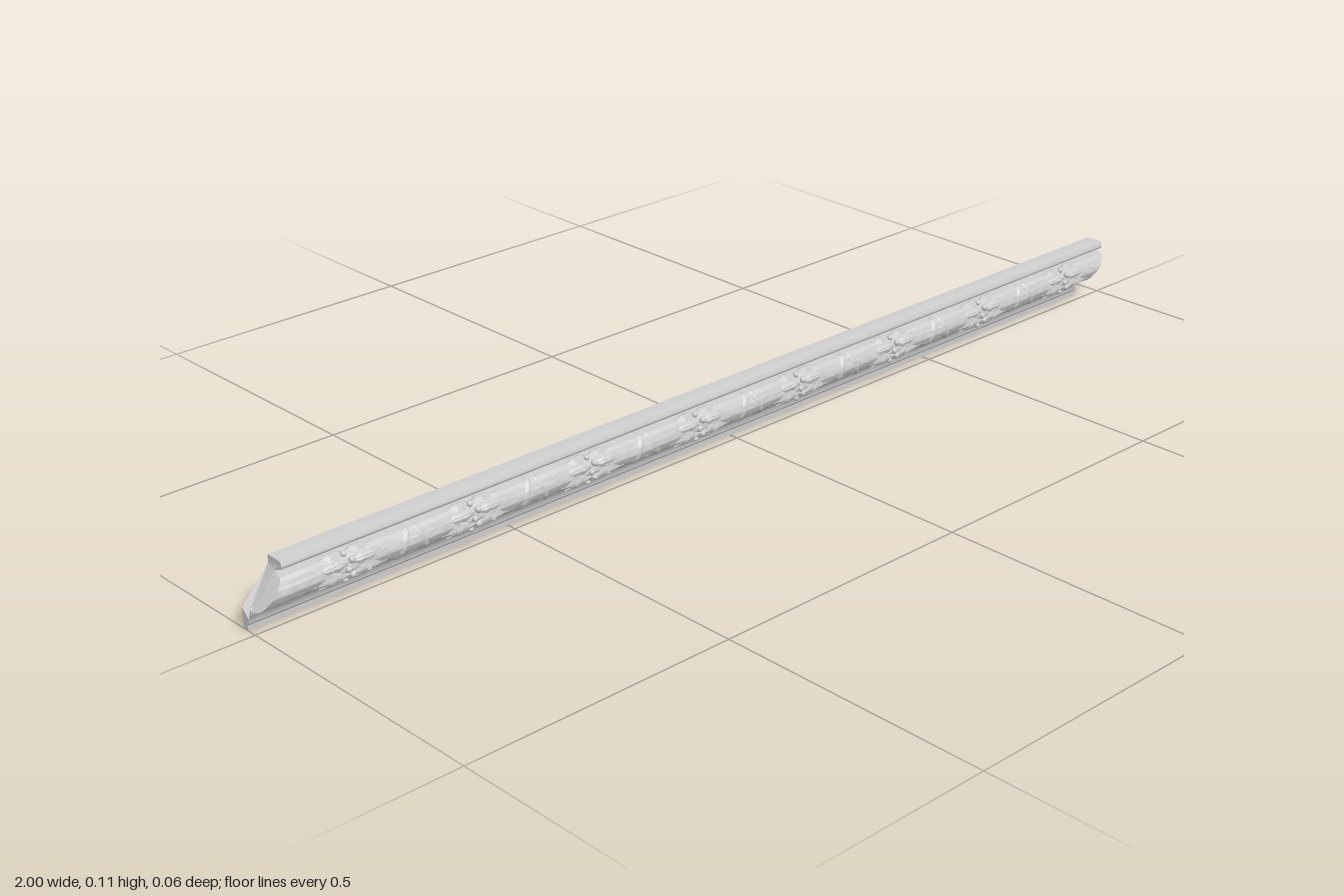
import * as THREE from 'three';
import { toCreasedNormals } from 'three/addons/utils/BufferGeometryUtils.js';

const LEFT = -1, LENGTH = 1.948;
const AXIS_Y = 0.062, AXIS_Z = -0.002;
const material = new THREE.MeshStandardMaterial({ color: 0xcccccc });
const thin = new THREE.MeshStandardMaterial({ color: 0xcccccc, side: THREE.DoubleSide });

// sideways shift that slants both ends between the lower and upper strips
const slant = (y) => 0.052 * THREE.MathUtils.clamp((y - 0.036) / 0.056, 0, 1);

// point on the rod from x, angle above the front direction, and radius
const onRod = (x, angle, r) => [x, AXIS_Y + r * Math.sin(angle), AXIS_Z + r * Math.cos(angle)];

// grid surface from a rule f(u, v) -> [x, y, z]
function surface(f, nu, nv, crease) {
  const pos = [], index = [];
  for (let i = 0; i <= nu; i++)
    for (let j = 0; j <= nv; j++) pos.push(...f(i / nu, j / nv));
  for (let i = 0; i < nu; i++)
    for (let j = 0; j < nv; j++) {
      const a = i * (nv + 1) + j, b = a + nv + 1;
      index.push(a, b, a + 1, b, b + 1, a + 1);
    }
  const g = new THREE.BufferGeometry();
  g.setAttribute('position', new THREE.Float32BufferAttribute(pos, 3));
  g.setIndex(index);
  g.computeVertexNormals();
  return toCreasedNormals(g, crease);
}

function add(parent, geometry, name, mat = material) {
  const mesh = new THREE.Mesh(geometry, mat);
  mesh.name = name;
  parent.add(mesh);
  return mesh;
}

// back board with its stepped lower strip and rounded upper lip
function railGeometry() {
  const profile = [
    [-0.03, 0], [-0.018, 0], [-0.018, 0.009], [-0.015, 0.013], [-0.014, 0.021],
    [-0.01, 0.027], [-0.007, 0.031], [-0.006, 0.036], [-0.012, 0.04], [-0.012, 0.088],
    [0.003, 0.092], [0.005, 0.096], [0.0045, 0.101], [0.002, 0.105], [-0.002, 0.106],
    [-0.03, 0.106], [-0.03, 0.092], [-0.03, 0.036],
  ];
  const shape = new THREE.Shape(profile.map(([z, y]) => new THREE.Vector2(-z, y)));
  const g = new THREE.ExtrudeGeometry(shape, { depth: LENGTH, bevelEnabled: false });
  g.rotateY(Math.PI / 2);
  const p = g.attributes.position;
  for (let i = 0; i < p.count; i++) p.setX(i, p.getX(i) + LEFT + slant(p.getY(i)));
  return toCreasedNormals(g, 0.5);
}

// half-round bundle of reeds with closed, slanted ends
function rodGeometry() {
  const n = 130;
  return surface((u, v) => {
    const i = Math.round(u * n);
    const t = THREE.MathUtils.clamp((i - 1) / (n - 2), 0, 1);
    const angle = (v - 0.5) * 3.7;
    const swell = 0.0006 * Math.sin(t * LENGTH * 52);
    const r = i === 0 || i === n ? 0 : 0.0235 + 0.0018 * Math.abs(Math.cos(angle * 3.4)) + swell;
    const p = onRod(0, angle, r);
    p[0] = LEFT + t * LENGTH + slant(p[1]);
    return p;
  }, n, 56, 0.7);
}

// scalloped leaf wrapped round the rod, with a middle vein and curled tip
function leafGeometry(dir, angle0, length, width) {
  return surface((u, v) => {
    const side = 2 * v - 1;
    const outline = Math.sin(Math.PI * Math.pow(u, 0.75)) * (1 + 0.2 * Math.cos(u * 19));
    const dome = (1 - side * side) * Math.sin(Math.PI * Math.min(1, u + 0.1));
    const vein = 0.0012 * Math.max(0, 1 - Math.abs(side) * 5);
    const r = 0.0247 + 0.0045 * dome - vein + 0.0025 * u * u;
    return onRod(dir * length * u, angle0 + width * outline * side, r);
  }, 18, 10, 0.8);
}

// raised ribbon crossing the reeds at an angle
function ribbonGeometry(lean) {
  return surface((u, v) => {
    const angle = (v - 0.5) * 3.5;
    return onRod((u - 0.5) * 0.012 + lean * angle, angle, 0.0245 + 0.0028 * Math.sin(Math.PI * u));
  }, 6, 28, 0.8);
}

export function createModel() {
  const model = new THREE.Group();
  model.name = 'carvedMoulding';
  add(model, railGeometry(), 'backRail');
  add(model, rodGeometry(), 'reededRod', thin);

  const leaves = [];
  for (const dir of [-1, 1])
    for (const [angle, length, width] of [[-1.15, 0.05, 0.36], [-0.4, 0.068, 0.36], [0.4, 0.06, 0.36], [1.15, 0.05, 0.36]])
      leaves.push(leafGeometry(dir, angle, length, width));
  const berry = new THREE.SphereGeometry(0.0055, 12, 8);
  const ribbons = [ribbonGeometry(0.009), ribbonGeometry(-0.009)];

  // repeated leaf sprays along the rod
  for (let k = 0; k < 8; k++) {
    const spray = new THREE.Group();
    spray.name = 'leafSpray' + (k + 1);
    spray.position.x = -0.838 + k * 0.2435;
    leaves.forEach((g) => add(spray, g, 'leaf', thin));
    for (let j = 0; j < 5; j++)
      add(spray, berry, 'berry').position.set(...onRod(j % 2 ? 0.005 : -0.004, (j - 2) * 0.5, 0.0265));
    model.add(spray);

    // ribbon wraps between the sprays
    if (k < 7)
      ribbons.forEach((g, j) => {
        add(model, g, 'ribbon', thin).position.x = spray.position.x + 0.105 + j * 0.036;
      });
  }
  return model;
}
